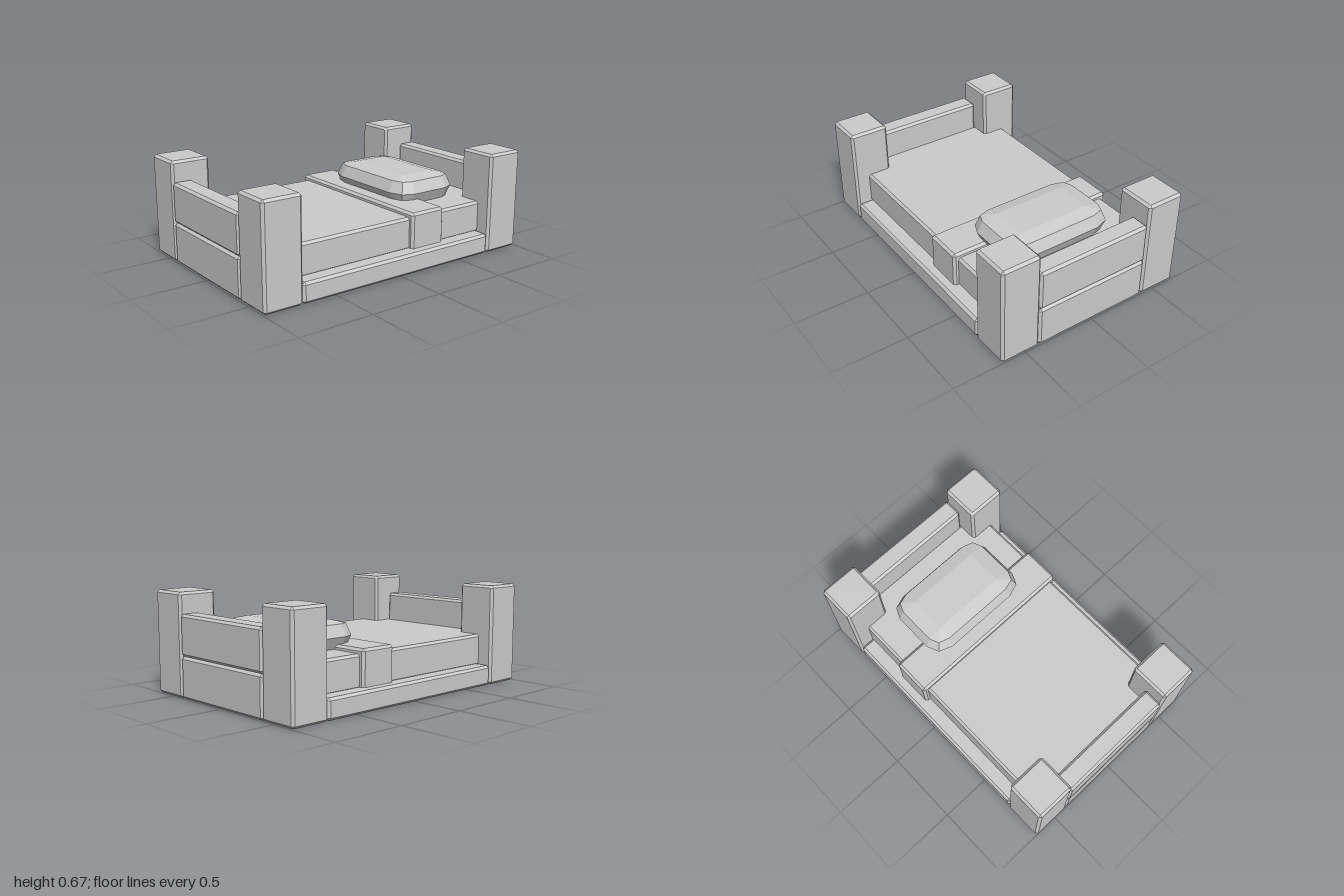
import * as THREE from 'three';
import { ConvexGeometry } from 'three/addons/geometries/ConvexGeometry.js';

const material = new THREE.MeshStandardMaterial({ color: 0xcccccc, flatShading: true });
const SIGNS = [-1, 1];

// Repeats each point in all eight mirrored octants
function mirrored(points) {
  const out = [];
  for (const [x, y, z] of points)
    for (const sx of SIGNS) for (const sy of SIGNS) for (const sz of SIGNS)
      out.push(new THREE.Vector3(x * sx, y * sy, z * sz));
  return out;
}

// Box with every edge bevelled, given by its min / max on each axis
function bevelBox(name, [x0, x1], [y0, y1], [z0, z1], b = 0.016) {
  const hx = (x1 - x0) / 2, hy = (y1 - y0) / 2, hz = (z1 - z0) / 2;
  const geometry = new ConvexGeometry(mirrored([
    [hx, hy - b, hz - b], [hx - b, hy, hz - b], [hx - b, hy - b, hz],
  ]));
  const mesh = new THREE.Mesh(geometry, material);
  mesh.name = name;
  mesh.position.set((x0 + x1) / 2, (y0 + y1) / 2, (z0 + z1) / 2);
  return mesh;
}

// Plump cushion with faceted rounded corners
function createPillow() {
  const geometry = new ConvexGeometry(mirrored([
    [0.385, 0, 0.135], [0.35, 0, 0.213], [0.26, 0, 0.245],
    [0.35, 0.075, 0.13], [0.325, 0.075, 0.19], [0.25, 0.075, 0.213],
    [0.25, 0.095, 0.125],
  ]));
  const pillow = new THREE.Mesh(geometry, material);
  pillow.name = 'pillow';
  pillow.position.set(0, 0.41, -0.47);
  return pillow;
}

export function createModel() {
  const bed = new THREE.Group();
  bed.name = 'bed';

  // Low frame, mattress and turned-down blanket
  bed.add(bevelBox('baseFrame', [-0.665, 0.665], [0, 0.133], [-0.735, 0.735]));
  bed.add(bevelBox('mattress', [-0.565, 0.565], [0.12, 0.333], [-0.88, 0.88]));
  bed.add(bevelBox('blanketFold', [-0.597, 0.597], [0.1, 0.365], [-0.397, -0.135]));
  bed.add(createPillow());

  // Headboard and footboard: two posts joined by two stacked planks
  for (const end of SIGNS) {
    const board = new THREE.Group();
    board.name = end < 0 ? 'headboard' : 'footboard';
    const span = (near, far) => (end < 0 ? [-far, -near] : [near, far]);
    board.add(bevelBox('rightPost', [-0.667, -0.4], [0, 0.667], span(0.735, 1)));
    board.add(bevelBox('leftPost', [0.4, 0.667], [0, 0.667], span(0.735, 1)));
    board.add(bevelBox('lowerPlank', [-0.402, 0.402], [0, 0.268], span(0.865, 1)));
    board.add(bevelBox('upperPlank', [-0.402, 0.402], [0.268, 0.533], span(0.865, 1)));
    bed.add(board);
  }
  return bed;
}
